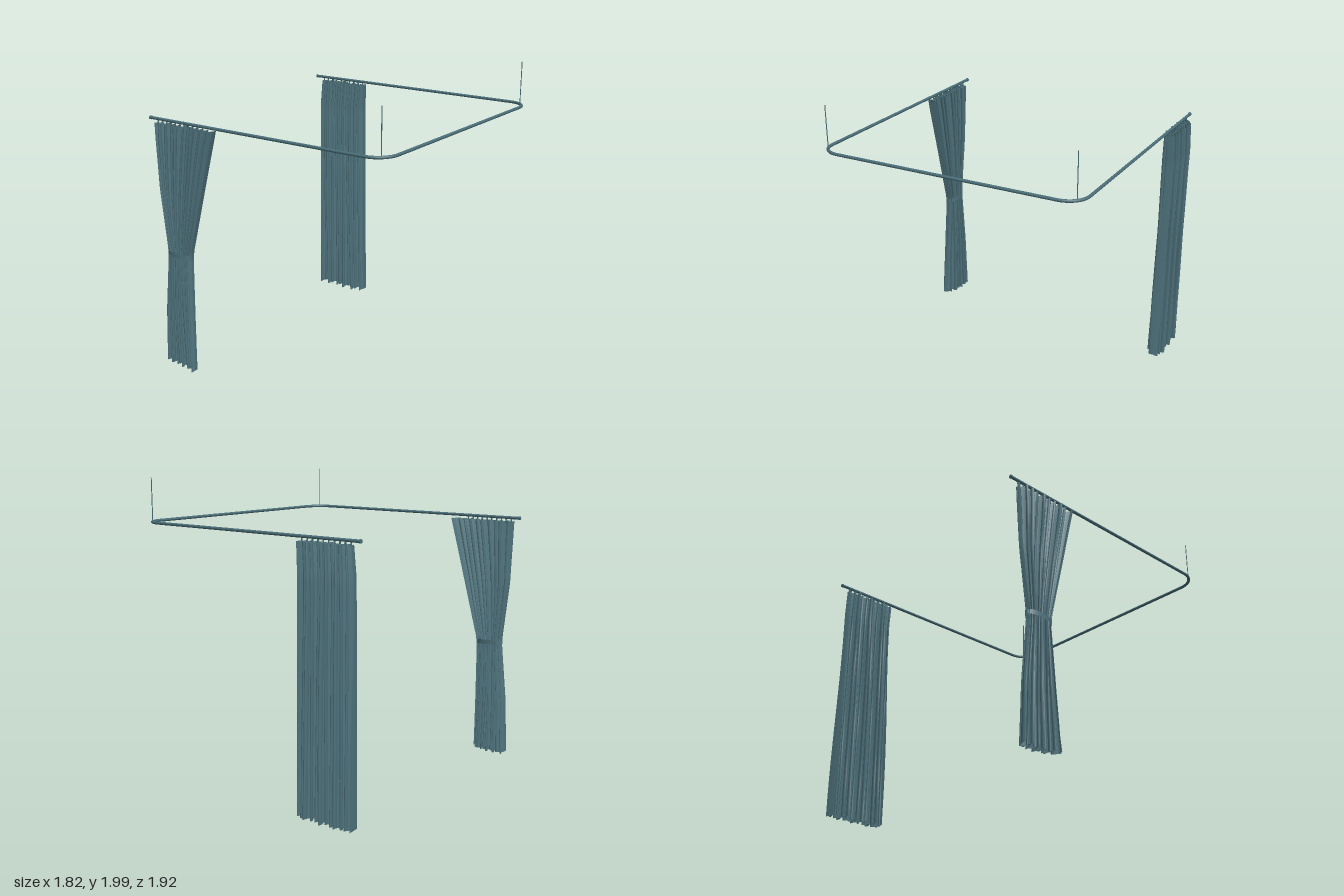
import * as THREE from 'three';
import { ParametricGeometry } from 'three/addons/geometries/ParametricGeometry.js';

const RAIL_Y = 1.71, FRONT_Z = 0.875, BACK_Z = -0.91, SIDE_X = 0.895, END_X = -0.905;

// Straight-line interpolation through rows of [y, leftX, rightX, centreZ, foldDepth]
function sample(rows, y) {
  let i = 0;
  while (i < rows.length - 2 && y > rows[i + 1][0]) i++;
  const t = (y - rows[i][0]) / (rows[i + 1][0] - rows[i][0]);
  return rows[i].map((a, k) => a + (rows[i + 1][k] - a) * t);
}

// Pleated cloth: folds swing in z and double back in x, with uneven depth
function clothGeometry(rows, folds, seed, flare) {
  const bottom = rows[0][0], height = rows[rows.length - 1][0] - bottom;
  return new ParametricGeometry((u, v, target) => {
    const y = bottom + v * height;
    const [, x0, x1, zc, depth] = sample(rows, y);
    const a = u * folds * Math.PI * 2 + 0.35 * Math.sin(u * 17 + seed) + 0.25 * Math.sin(v * 5 + u * 9 + seed);
    const uneven = 0.78 + 0.22 * Math.sin(u * 23 + seed * 2 + v * 1.5);
    const pitch = (x1 - x0) / folds;
    const edge = Math.min(1, u * 12, (1 - u) * 12);
    const x = x0 + (x1 - x0) * u + pitch * 0.3 * Math.sin(2 * a) * edge;
    const z = zc + depth * uneven * Math.sin(a) + flare * Math.pow(u, 8) * Math.max(0, 1 - y / 0.82);
    const hem = (1 - v) * 0.008 * Math.sin(a * 0.5 + seed);
    target.set(x, y + hem, z);
  }, folds * 14, 28);
}

export function createModel() {
  const model = new THREE.Group();
  const fabric = new THREE.MeshStandardMaterial({ name: 'teal fabric', color: 0x4f737d, side: THREE.DoubleSide });
  const metal = new THREE.MeshStandardMaterial({ name: 'teal metal', color: 0x4a6e78 });

  const add = (name, geometry, material, x = 0, y = 0, z = 0) => {
    const mesh = new THREE.Mesh(geometry, material);
    mesh.name = name;
    mesh.position.set(x, y, z);
    model.add(mesh);
    return mesh;
  };

  // U-shaped rail with rounded corners
  const r = 0.135, k = r * 0.448;
  const p = (x, z) => new THREE.Vector3(x, RAIL_Y, z);
  const path = new THREE.CurvePath();
  path.add(new THREE.LineCurve3(p(END_X, FRONT_Z), p(SIDE_X - r, FRONT_Z)));
  path.add(new THREE.CubicBezierCurve3(p(SIDE_X - r, FRONT_Z), p(SIDE_X - k, FRONT_Z),
    p(SIDE_X, FRONT_Z - k), p(SIDE_X, FRONT_Z - r)));
  path.add(new THREE.LineCurve3(p(SIDE_X, FRONT_Z - r), p(SIDE_X, BACK_Z + r)));
  path.add(new THREE.CubicBezierCurve3(p(SIDE_X, BACK_Z + r), p(SIDE_X, BACK_Z + k),
    p(SIDE_X - k, BACK_Z), p(SIDE_X - r, BACK_Z)));
  path.add(new THREE.LineCurve3(p(SIDE_X - r, BACK_Z), p(END_X, BACK_Z)));
  add('rail', new THREE.TubeGeometry(path, 200, 0.01, 12), metal);

  // End caps and ceiling rods
  for (const z of [FRONT_Z, BACK_Z]) {
    add('railEndCap', new THREE.CylinderGeometry(0.0125, 0.0125, 0.01, 12), metal, END_X, RAIL_Y, z)
      .rotation.z = Math.PI / 2;
    const rodZ = z - Math.sign(z) * 0.037;
    add('ceilingRod', new THREE.CylinderGeometry(0.003, 0.003, 2 - RAIL_Y, 8), metal, 0.85, (2 + RAIL_Y) / 2, rodZ);
  }

  // Front curtain, gathered at the tie
  add('frontCurtain', clothGeometry([
    [0.015, -0.84, -0.57, 0.885, 0.045],
    [0.4, -0.825, -0.59, 0.885, 0.042],
    [0.82, -0.785, -0.605, 0.885, 0.036],
    [1.25, -0.84, -0.49, 0.88, 0.042],
    [1.6, -0.855, -0.4, 0.875, 0.05],
    [1.685, -0.86, -0.375, 0.873, 0.046],
  ], 10, 1.3, 0.065), fabric);

  // Back curtain, hanging straight
  add('backCurtain', clothGeometry([
    [0.015, -0.86, -0.45, -0.912, 0.064],
    [0.8, -0.86, -0.465, -0.912, 0.063],
    [1.5, -0.86, -0.48, -0.912, 0.06],
    [1.685, -0.85, -0.47, -0.914, 0.05],
  ], 11, 4.1, 0), fabric);

  // Tie band around the front curtain
  const tie = add('tieBand', new THREE.CylinderGeometry(1, 1, 0.03, 28, 1, true), fabric, -0.695, 0.82, 0.887);
  tie.scale.set(0.1, 1, 0.043);
  tie.rotation.z = -0.06;

  // Gliders joining the curtains to the rail
  const glider = new THREE.CylinderGeometry(0.005, 0.005, 0.035, 6);
  for (let i = 0; i < 10; i++) {
    add('frontGlider', glider, metal, -0.84 + i * 0.038, 1.69, FRONT_Z);
    add('backGlider', glider, metal, -0.84 + i * 0.04, 1.69, BACK_Z);
  }
  return model;
}
